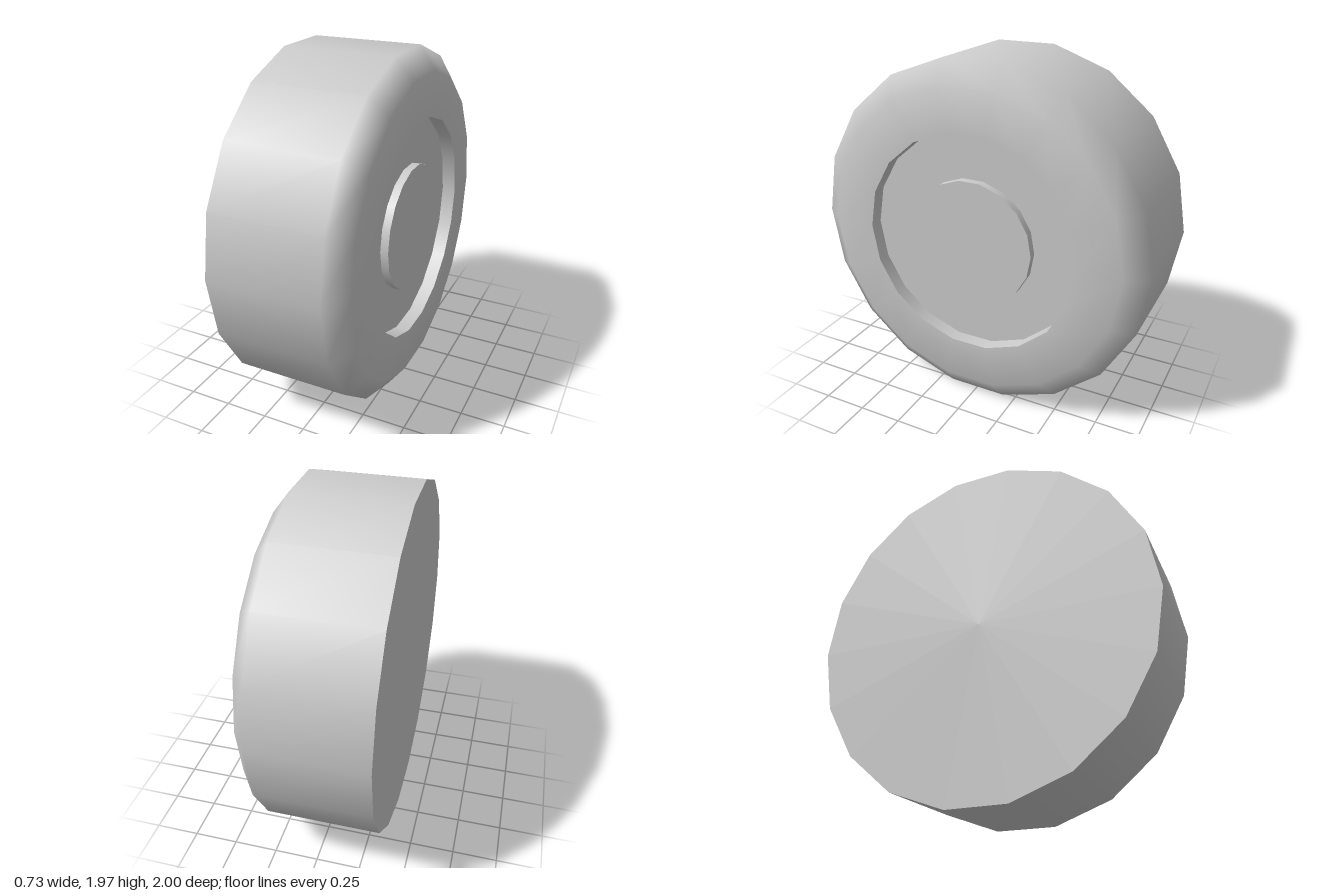
import * as THREE from 'three';

const SIDES = 18;

export function createModel() {
  const wheel = new THREE.Group();
  wheel.name = 'wheel';
  const material = new THREE.MeshStandardMaterial({ color: 0xcccccc });

  // Revolves a [radius, x] profile about the axle; corners inside one profile are smooth.
  const addRing = (name, profile) => {
    const points = profile.map(([radius, x]) => new THREE.Vector2(radius, x));
    const geometry = new THREE.LatheGeometry(points, SIDES);
    geometry.rotateZ(-Math.PI / 2);
    const mesh = new THREE.Mesh(geometry, material);
    mesh.name = name;
    mesh.position.y = Math.cos(Math.PI / SIDES); // rests on a flat side
    wheel.add(mesh);
  };

  const back = -0.363, shoulder = 0.268, face = 0.363;
  const floor = face - 0.08, hubTop = floor + 0.045;
  const tyreR = 1, faceR = 0.873, rimR = 0.627, hubR = 0.363;

  // Tread, rounded shoulder and sidewall
  addRing('tyre', [[tyreR, back], [tyreR, shoulder], [faceR, face], [rimR, face]]);
  addRing('backCap', [[0, back], [tyreR, back]]);

  // Sunken rim
  addRing('rimWall', [[rimR, face], [rimR, floor]]);
  addRing('rimFloor', [[rimR, floor], [hubR, floor]]);

  // Raised hub
  addRing('hubWall', [[hubR, floor], [hubR, hubTop]]);
  addRing('hubCap', [[hubR, hubTop], [0, hubTop]]);

  return wheel;
}
